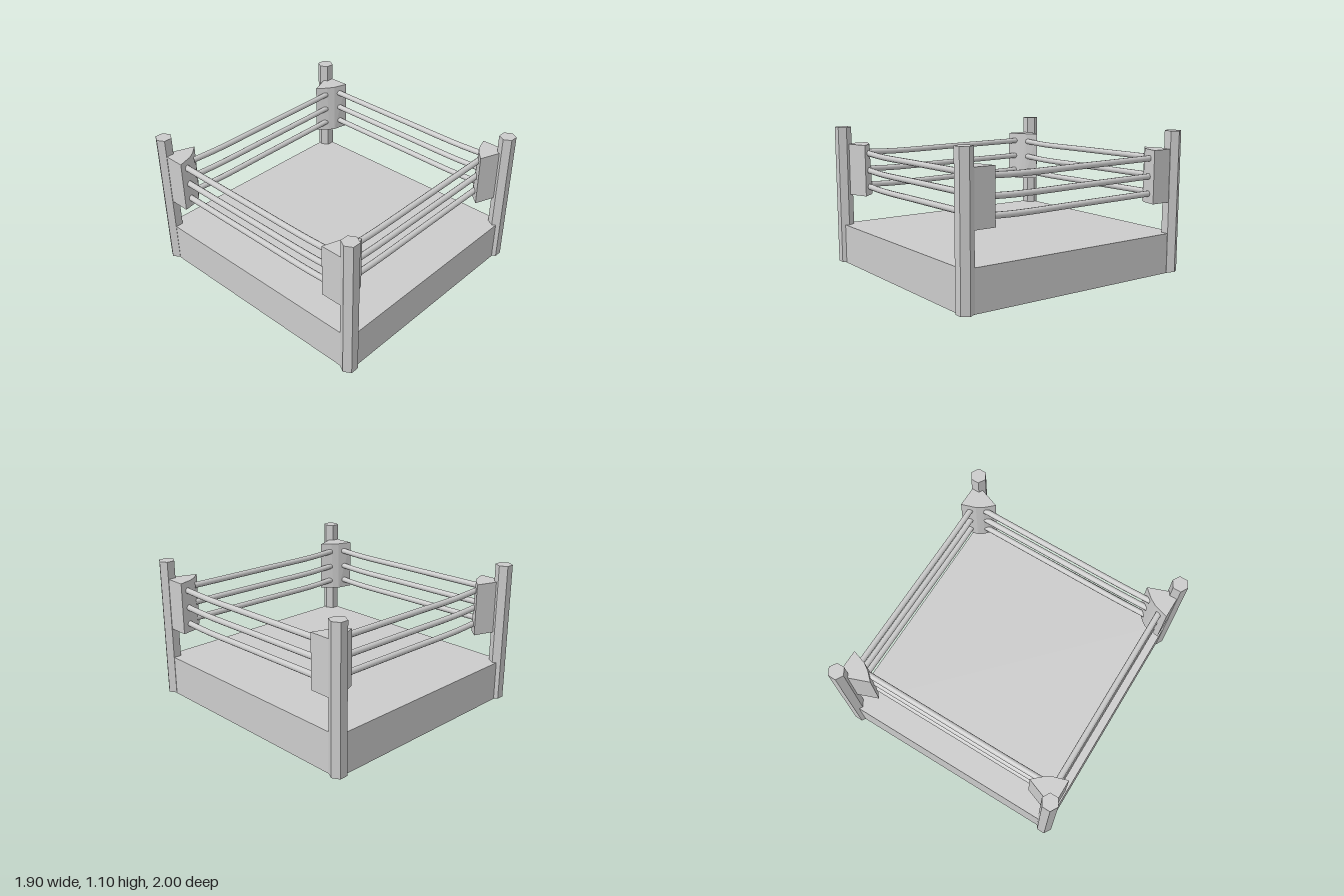
import * as THREE from 'three';
import { ConvexGeometry } from 'three/addons/geometries/ConvexGeometry.js';

export function createModel() {
  const group = new THREE.Group();
  group.name = 'boxingRing';
  const flat = new THREE.MeshStandardMaterial({ color: 0xcccccc, flatShading: true });
  const smooth = new THREE.MeshStandardMaterial({ color: 0xcccccc });

  const add = (name, geometry, material) => {
    const mesh = new THREE.Mesh(geometry, material);
    mesh.name = name;
    group.add(mesh);
    return mesh;
  };

  // Raised platform
  add('platform', new THREE.BoxGeometry(1.83, 0.312, 1.944), flat).position.set(0, 0.156, 0);

  // Corner pad outlines as [x, z]: the inner face leans out slightly to the bottom
  const padTop = [[0.914, 0.91], [0.85, 0.925], [0.675, 0.86], [0.745, 0.795], [0.8, 0.76], [0.914, 0.723]];
  const padBottom = [[0.914, 0.91], [0.85, 0.925], [0.675, 0.86], [0.748, 0.778], [0.79, 0.748], [0.914, 0.723]];

  // Hexagonal posts and their pads
  const postGeometry = new THREE.CylinderGeometry(0.064, 0.064, 1.095, 6).rotateY(Math.PI / 2);
  for (const sx of [-1, 1]) {
    for (const sz of [-1, 1]) {
      const corner = (sz > 0 ? 'front' : 'back') + (sx > 0 ? 'Left' : 'Right');
      add(corner + 'Post', postGeometry, flat).position.set(sx * 0.885, 0.5525, sz * 0.945);
      const points = [
        ...padTop.map(([x, z]) => new THREE.Vector3(sx * x, 0.963, sz * z)),
        ...padBottom.map(([x, z]) => new THREE.Vector3(sx * x, 0.556, sz * z)),
      ];
      add(corner + 'Pad', new ConvexGeometry(points), flat);
    }
  }

  // Slightly sagging ropes; t runs along the rope, dy is the sag
  const sag = [[-1, 0], [-0.66, -0.009], [0, -0.004], [0.5, 0], [1, 0.004]];
  const ropeGeometry = (half, place) =>
    new THREE.TubeGeometry(
      new THREE.CatmullRomCurve3(sag.map(([t, dy]) => place(t * half, dy))), 16, 0.023, 10);

  [0.625, 0.756, 0.893].forEach((y, i) => {
    for (const s of [-1, 1]) {
      add((s > 0 ? 'frontRope' : 'backRope') + (i + 1),
        ropeGeometry(0.745, (t, dy) => new THREE.Vector3(t, y + dy, s * 0.805)), smooth);
      add((s > 0 ? 'leftRope' : 'rightRope') + (i + 1),
        ropeGeometry(0.775, (t, dy) => new THREE.Vector3(s * 0.847, y + dy, -t)), smooth);
    }
  });

  // The sag is lowest toward the front on the side ropes
  return group;
}
